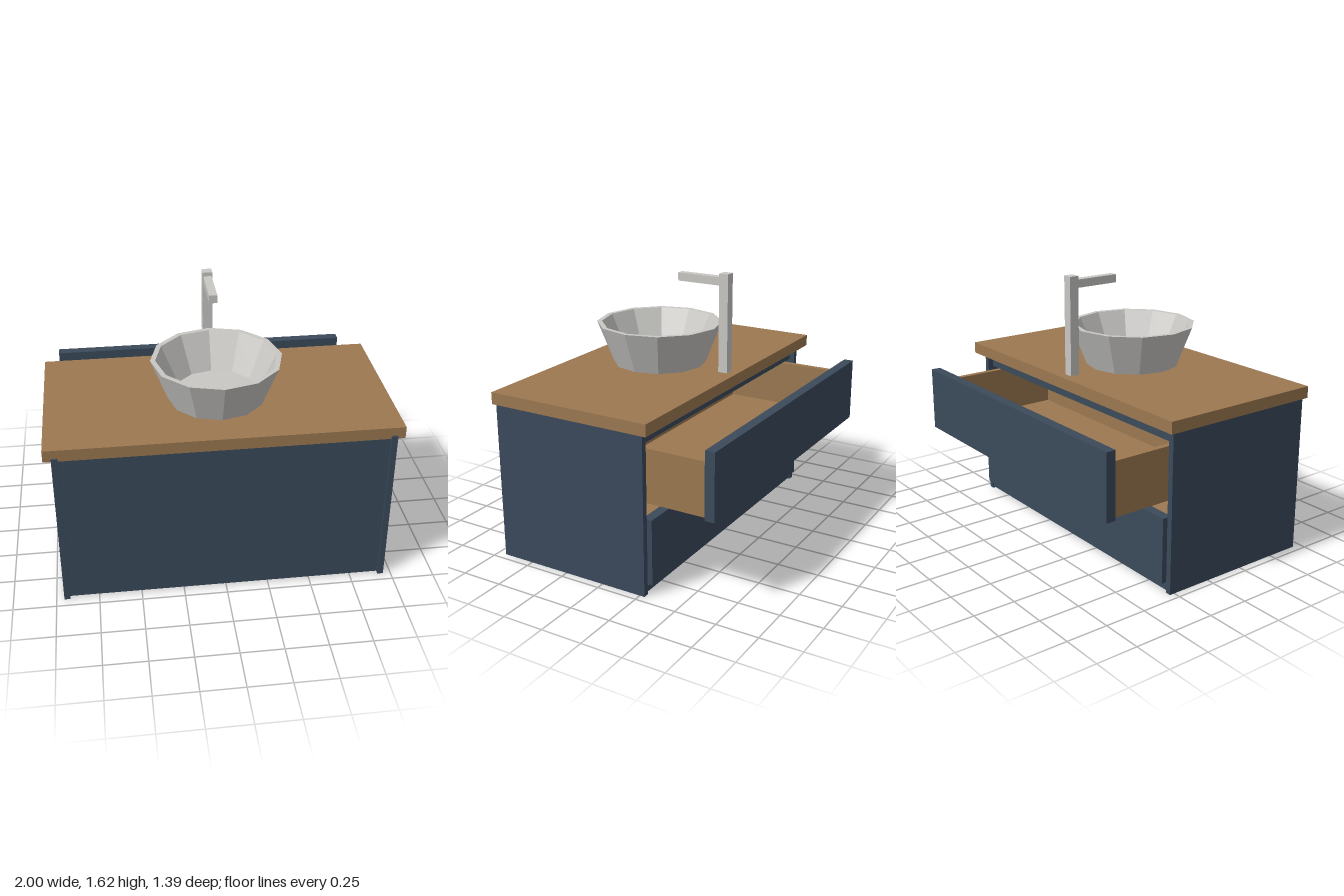
import * as THREE from 'three';

export function createModel() {
  const model = new THREE.Group();
  model.name = 'washbasinCabinet';
  const material = (name, color, flatShading = false) => {
    const m = new THREE.MeshStandardMaterial({ color, flatShading });
    m.name = name;
    return m;
  };
  const navy = material('navyPaint', 0x3b4a5b);
  const wood = material('wood', 0x9b7850);
  const ceramic = material('paleGrey', 0xc8c7c4, true);

  // Box given by its extents along each axis
  function box(name, mat, [x0, x1], [y0, y1], [z0, z1], parent = model) {
    const mesh = new THREE.Mesh(new THREE.BoxGeometry(x1 - x0, y1 - y0, z1 - z0), mat);
    mesh.position.set((x0 + x1) / 2, (y0 + y1) / 2, (z0 + z1) / 2);
    mesh.name = name;
    parent.add(mesh);
    return mesh;
  }

  // Carcass
  box('leftSide', navy, [0.92, 0.955], [0, 0.98], [-0.28, 0.697]);
  box('rightSide', navy, [-0.955, -0.92], [0, 0.98], [-0.28, 0.697]);
  box('closedPanel', navy, [-0.92, 0.92], [0.012, 0.965], [0.65, 0.684]);
  box('bottomPanel', navy, [-0.92, 0.92], [0.012, 0.047], [-0.275, 0.65]);
  box('topRail', navy, [-0.92, 0.92], [0.87, 0.96], [-0.245, -0.21]);
  box('countertop', wood, [-1, 1], [0.96, 1.03], [-0.332, 0.687]);

  // Open-topped drawers, positioned by the bottom and outer face of their fronts
  function drawer(name, y, z, halfFront) {
    const g = new THREE.Group();
    g.name = name;
    const back = 0.88;
    box('drawerFront', navy, [-halfFront, halfFront], [0, 0.39], [0, 0.058], g);
    box('drawerFloor', wood, [-0.865, 0.865], [0.004, 0.034], [0.058, back], g);
    box('drawerLeftWall', wood, [0.865, 0.9], [0.004, 0.318], [0.058, back], g);
    box('drawerRightWall', wood, [-0.9, -0.865], [0.004, 0.318], [0.058, back], g);
    box('drawerBackWall', wood, [-0.865, 0.865], [0.034, 0.318], [back - 0.035, back], g);
    g.position.set(0, y, z);
    model.add(g);
  }
  drawer('openDrawer', 0.535, -0.695, 0.925);
  drawer('closedDrawer', 0.062, -0.31, 0.919);

  // Faceted bowl, with outer wall, rim, inner wall and floor
  const profile = [[0, 1.03], [0.283, 1.03], [0.38, 1.28], [0.35, 1.28], [0.246, 1.06], [0, 1.06]]
    .map(([x, y]) => new THREE.Vector2(x, y));
  const bowl = new THREE.Mesh(new THREE.LatheGeometry(profile, 12), ceramic);
  bowl.name = 'basin';
  bowl.position.z = 0.205;
  model.add(bowl);

  const drain = new THREE.Mesh(new THREE.CylinderGeometry(0.054, 0.054, 0.012, 8), ceramic);
  drain.name = 'drain';
  drain.rotation.y = Math.PI / 8;
  drain.position.set(0, 1.065, 0.205);
  model.add(drain);

  // Tap
  box('tapColumn', ceramic, [-0.029, 0.029], [1.03, 1.62], [-0.277, -0.219]);
  box('tapSpout', ceramic, [-0.024, 0.024], [1.549, 1.597], [-0.219, 0.058]);

  return model;
}
